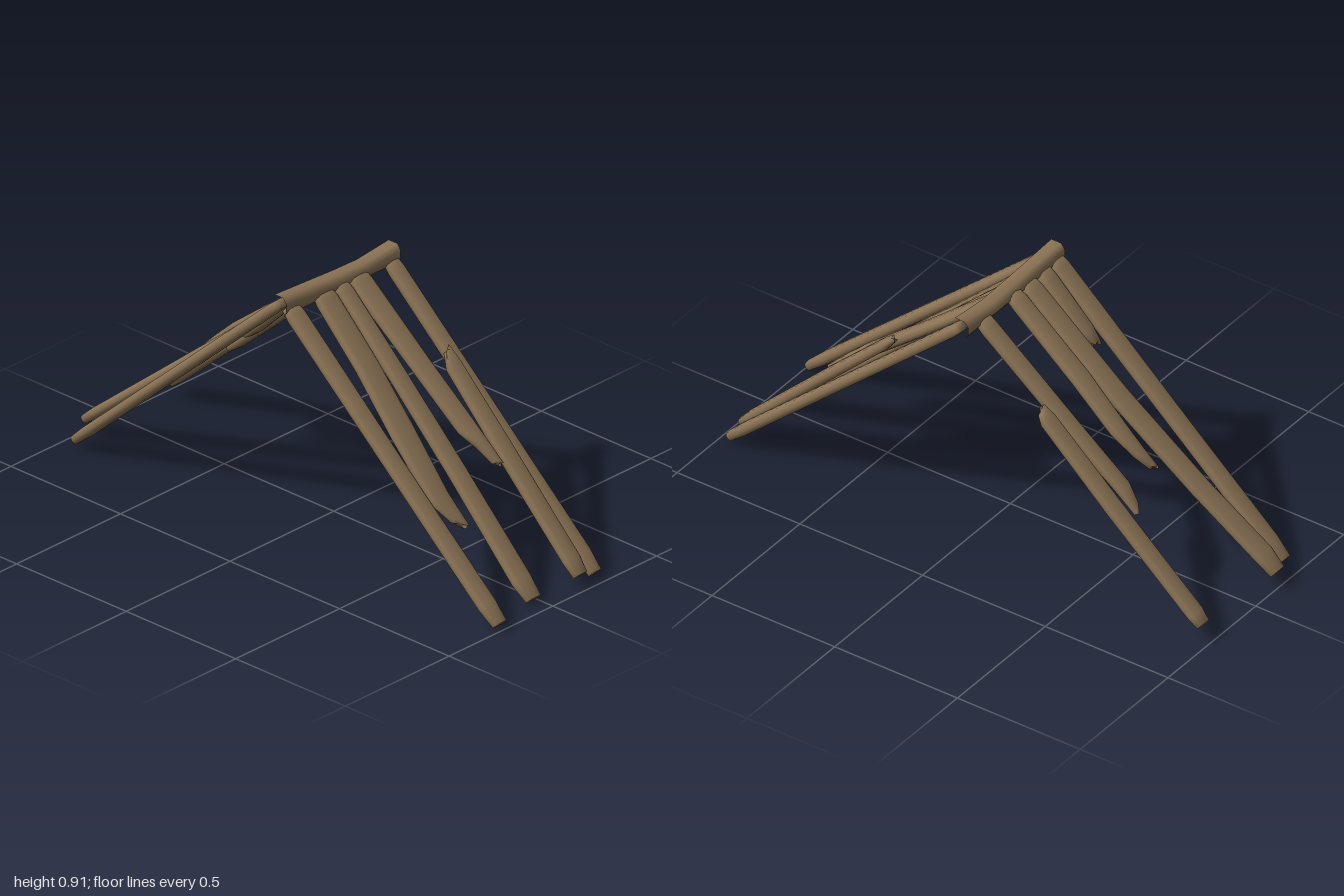
import * as THREE from 'three';

const SIDES = 12;

// Loft closed rings of points, with optional softly shaded end caps.
function loft(rings, capped) {
  const pos = [], idx = [], n = rings[0].length, last = (rings.length - 1) * n;
  rings.forEach(r => r.forEach(p => pos.push(p.x, p.y, p.z)));
  for (let i = 0; i < last; i += n) {
    for (let j = 0; j < n; j++) {
      const k = (j + 1) % n, a = i + j, b = i + k;
      idx.push(a, a + n, b, b, a + n, b + n);
    }
  }
  if (capped) {
    [0, last].forEach(base => {
      const mid = new THREE.Vector3();
      rings[base / n].forEach(p => mid.addScaledVector(p, 1 / n));
      const m = pos.push(mid.x, mid.y, mid.z) / 3 - 1;
      for (let j = 0; j < n; j++) {
        const a = base + j, b = base + (j + 1) % n;
        if (base) idx.push(m, b, a); else idx.push(m, a, b);
      }
    });
  }
  const g = new THREE.BufferGeometry();
  g.setAttribute('position', new THREE.Float32BufferAttribute(pos, 3));
  g.setIndex(idx);
  g.computeVertexNormals();
  return g;
}

// Flattened round pole through stations [x, y, z, width, thickness].
// skew slants a broken end across its width, zig makes it ragged.
function poleGeometry(stations, { startSkew = 0, endSkew = 0, zig = 0 } = {}) {
  const first = stations[0], last = stations[stations.length - 1];
  const dir = new THREE.Vector3(last[0] - first[0], last[1] - first[1], 0).normalize();
  const up = new THREE.Vector3(-dir.y, dir.x, 0);
  const round = v => Math.sign(v) * Math.abs(v) ** 0.65;
  const rings = stations.map(([x, y, z, w, t = 0.04], i) => {
    const ring = [];
    for (let j = 0; j < SIDES; j++) {
      const a = j / SIDES * Math.PI * 2, c = Math.cos(a), s = Math.sin(a);
      let shift = 0;
      if (i === 0) shift = startSkew * c;
      if (i === stations.length - 1) shift = endSkew * c;
      if (shift) shift += zig * Math.cos(3 * a);
      ring.push(new THREE.Vector3(x, y, z + round(c) * w / 2)
        .addScaledVector(up, round(s) * t / 2).addScaledVector(dir, shift));
    }
    return ring;
  });
  return loft(rings, true);
}

// Whole pole with slightly tapered ends, bending in z through [fraction, z, width].
function wholePole(top, foot, bends) {
  const at = (f, z, w, t) =>
    [top[0] + (foot[0] - top[0]) * f, top[1] + (foot[1] - top[1]) * f, z, w, t];
  const [a, b] = [bends[0], bends[bends.length - 1]];
  return poleGeometry([
    at(0, a[1], a[2] * 0.86, 0.034),
    at(0.03, a[1], a[2]),
    ...bends.slice(1, -1).map(p => at(...p)),
    at(0.94, b[1], b[2]),
    at(1, b[1], b[2] * 0.78, 0.034),
  ]);
}

export function createModel() {
  const model = new THREE.Group();
  const wood = new THREE.MeshStandardMaterial({ color: 0x8b7355 });
  wood.name = 'weatheredWood';
  const add = (name, geometry) => {
    const mesh = new THREE.Mesh(geometry, wood);
    mesh.name = name;
    model.add(mesh);
  };

  // Sagging ridge beam, a hollow open-ended bar
  const ridgeTops = [[0.275, 0.907], [0, 0.893], [-0.12, 0.89], [-0.275, 0.906]];
  add('ridgeBeam', loft(ridgeTops.map(([z, y]) => [
    [0.02, 0.836], [0.035, 0.858], [0.035, y - 0.02], [0.02, y],
    [-0.02, y], [-0.035, y - 0.02], [-0.035, 0.858], [-0.02, 0.836],
  ].map(p => new THREE.Vector3(p[0] + 0.01, p[1], z))), false));

  // Left slope, whole poles
  add('leftFrontPole', wholePole([0.026, 0.86], [0.985, 0.017],
    [[0, 0.238, 0.075], [0.5, 0.24, 0.07], [1, 0.24, 0.072]]));
  add('leftMiddlePole', wholePole([0.026, 0.86], [0.935, 0.013],
    [[0, 0, 0.064], [0.3, 0.002, 0.068], [0.6, 0.009, 0.072], [1, 0.025, 0.08]]));
  add('leftBackPole', wholePole([0.026, 0.855], [0.962, 0.021],
    [[0, -0.243, 0.064], [0.5, -0.243, 0.066], [1, -0.243, 0.066]]));

  // Left slope, broken poles
  add('leftBrokenPoleFront', poleGeometry([
    [0.026, 0.858, 0.085, 0.079, 0.034], [0.05, 0.835, 0.085, 0.092],
    [0.24, 0.655, 0.091, 0.096], [0.42, 0.485, 0.113, 0.1],
    [0.6, 0.315, 0.132, 0.085], [0.685, 0.237, 0.114, 0.052, 0.028],
  ], { endSkew: -0.022, zig: 0.008 }));
  add('leftBrokenPoleBack', poleGeometry([
    [0.026, 0.862, -0.08, 0.08, 0.034], [0.05, 0.84, -0.08, 0.092],
    [0.3, 0.635, -0.087, 0.08], [0.52, 0.46, -0.092, 0.076],
    [0.57, 0.42, -0.104, 0.05, 0.038], [0.64, 0.362, -0.115, 0.034, 0.026],
  ], { endSkew: -0.01, zig: 0.005 }));
  add('leftFallenPole', poleGeometry([
    [0.335, 0.645, -0.193, 0.036, 0.022], [0.375, 0.605, -0.183, 0.064, 0.036],
    [0.6, 0.39, -0.178, 0.07], [0.92, 0.08, -0.174, 0.068],
    [0.962, 0.038, -0.172, 0.055, 0.032],
  ], { startSkew: 0.012, zig: 0.006 }));

  // Right slope, whole poles
  add('rightFrontPole', wholePole([-0.01, 0.862], [-0.945, 0.027],
    [[0, 0.238, 0.075], [0.5, 0.237, 0.07], [1, 0.238, 0.07]]));
  add('rightMiddlePole', wholePole([-0.01, 0.862], [-0.988, 0.054],
    [[0, 0.08, 0.08], [0.38, 0.081, 0.084], [0.7, 0.107, 0.08], [1, 0.14, 0.082]]));

  // Right slope, broken poles
  add('rightStubPole', poleGeometry([
    [-0.01, 0.86, 0.165, 0.066, 0.034], [-0.04, 0.832, 0.165, 0.07],
    [-0.19, 0.685, 0.166, 0.066], [-0.225, 0.649, 0.168, 0.042, 0.026],
  ], { endSkew: 0.01, zig: 0.008 }));
  add('rightBrokenPoleCentre', poleGeometry([
    [-0.01, 0.865, -0.003, 0.064, 0.034], [-0.04, 0.842, -0.004, 0.072],
    [-0.3, 0.643, -0.015, 0.076], [-0.46, 0.518, -0.032, 0.068],
    [-0.54, 0.446, -0.022, 0.046, 0.036], [-0.59, 0.402, -0.01, 0.028, 0.024],
  ], { endSkew: 0.01, zig: 0.004 }));
  add('rightBrokenPoleBack', poleGeometry([
    [-0.01, 0.862, -0.175, 0.064, 0.034], [-0.04, 0.836, -0.175, 0.07],
    [-0.3, 0.615, -0.165, 0.066], [-0.56, 0.385, -0.143, 0.058],
    [-0.625, 0.328, -0.153, 0.038, 0.024],
  ], { endSkew: -0.016, zig: 0.005 }));
  add('rightFallenPole', poleGeometry([
    [-0.3, 0.649, -0.243, 0.044, 0.024], [-0.33, 0.622, -0.246, 0.066, 0.036],
    [-0.6, 0.375, -0.246, 0.068], [-0.93, 0.085, -0.246, 0.066],
    [-0.962, 0.054, -0.246, 0.054, 0.032],
  ], { startSkew: -0.012, zig: 0.006 }));

  return model;
}
